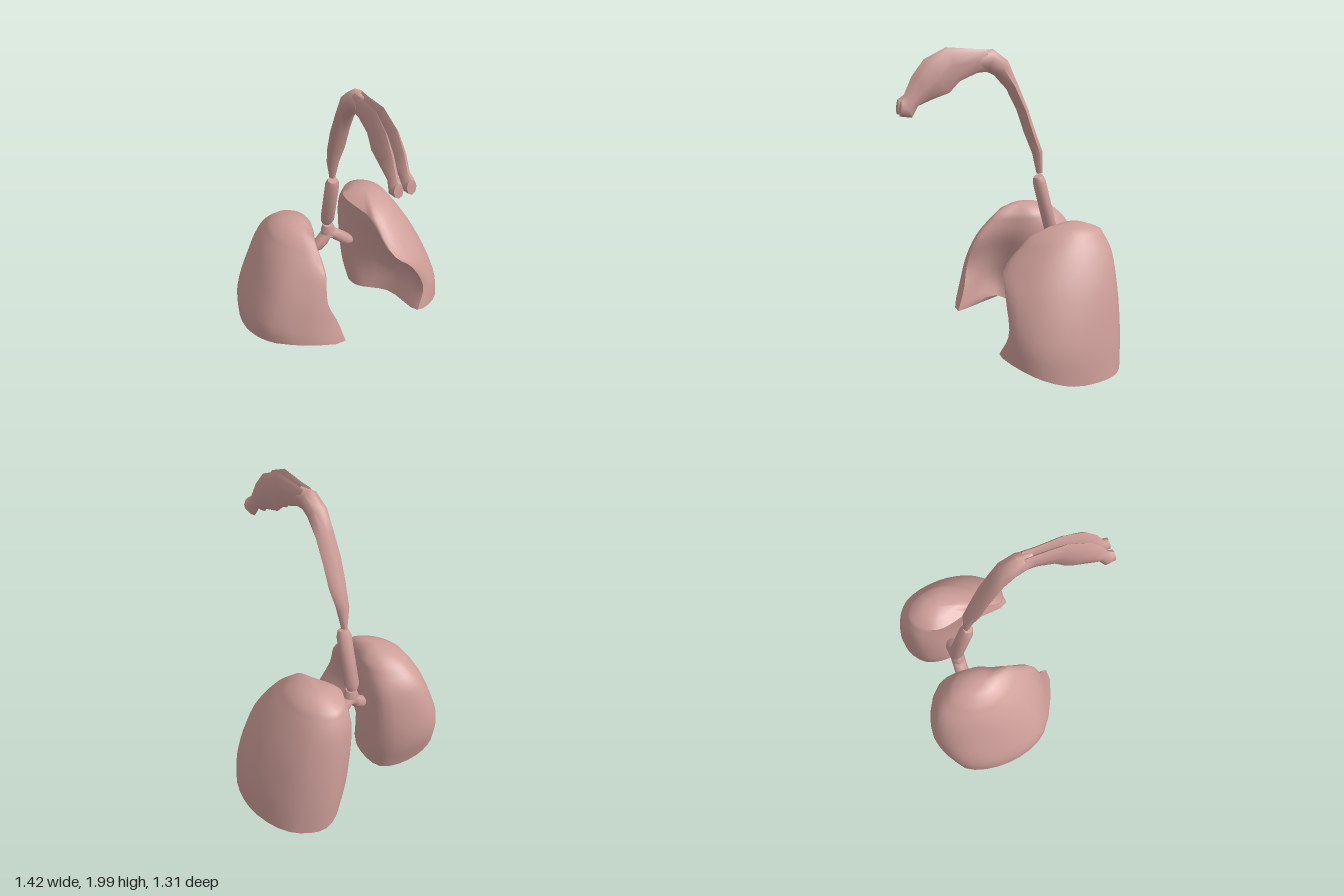
import * as THREE from 'three';
import { toCreasedNormals } from 'three/addons/utils/BufferGeometryUtils.js';

const material = new THREE.MeshStandardMaterial({ color: 0xcf9f9a });
const V = (x, y, z) => new THREE.Vector3(x, y, z);

// Skin closed rings (counter-clockwise about the travel direction) and cap both ends.
function loft(name, rings, startTip, endTip) {
  const n = rings[0].length, pos = [], index = [];
  rings.flat().concat(startTip, endTip).forEach((p) => pos.push(p.x, p.y, p.z));
  const start = n * rings.length, end = start + 1, last = start - n;
  for (let j = 0; j < n; j++) {
    const k = (j + 1) % n;
    for (let i = 0; i < rings.length - 1; i++) {
      const a = i * n + j, b = i * n + k;
      index.push(a, b, a + n, b, b + n, a + n);
    }
    index.push(start, k, j, end, last + j, last + k);
  }
  const geo = new THREE.BufferGeometry();
  geo.setAttribute('position', new THREE.Float32BufferAttribute(pos, 3));
  geo.setIndex(index);
  const mesh = new THREE.Mesh(toCreasedNormals(geo, 1), material);
  mesh.name = name;
  return mesh;
}

// Elliptical tube through stations [x, y, z, radius along side, radius across it].
function tube(name, stations, side, sides = 8) {
  const c = stations.map(([x, y, z]) => V(x, y, z));
  const rings = stations.map(([, , , ra, rb], i) => {
    const t = c[Math.min(i + 1, c.length - 1)].clone().sub(c[Math.max(i - 1, 0)]).normalize();
    const across = t.cross(side).normalize();
    return Array.from({ length: sides }, (_, j) => {
      const a = (j / sides) * Math.PI * 2;
      return c[i].clone().addScaledVector(side, Math.cos(a) * ra).addScaledVector(across, Math.sin(a) * rb);
    });
  });
  return loft(name, rings, c[0], c[c.length - 1]);
}

// Lung: eight landmarks per level, smoothed both around and upward.
// Order: back, outer back, outer, outer front, front ridge, hollow, inner, inner back.
function lung(name, levels, base, top, reverse) {
  const around = 32, up = 14;
  const rows = levels.map((row) => {
    const pts = row.map((p) => V(...p));
    if (reverse) pts.reverse();
    const curve = new THREE.CatmullRomCurve3(pts, true);
    return Array.from({ length: around }, (_, j) => curve.getPoint(j / around));
  });
  const columns = rows[0].map((_, j) => new THREE.CatmullRomCurve3(rows.map((r) => r[j])));
  const rings = Array.from({ length: up + 1 }, (_, i) => columns.map((c) => c.getPoint(i / up)));
  // shallow underside, and a rounded crown
  const under = rings[0].map((p) => p.clone().lerp(base, 0.45));
  const crown = rings[up].map((p) => p.clone().lerp(top, 0.45).setY(p.y * 0.3 + top.y * 0.7));
  return loft(name, [under, ...rings, crown], base, top);
}

const leftLevels = [
  [[.41, .01, -.63], [.62, .02, -.51], [.705, .04, -.2], [.64, .11, .03], [.41, .18, .17], [.37, .09, -.19], [.18, .12, -.32], [.22, .06, -.53]],
  [[.38, .25, -.64], [.58, .25, -.53], [.69, .25, -.22], [.63, .28, .02], [.47, .33, .13], [.44, .29, -.12], [.165, .28, -.34], [.18, .25, -.54]],
  [[.34, .55, -.63], [.52, .55, -.53], [.595, .55, -.27], [.54, .55, -.03], [.38, .54, .12], [.34, .55, -.09], [.14, .55, -.36], [.165, .55, -.56]],
  [[.31, .76, -.6], [.43, .76, -.53], [.495, .75, -.3], [.44, .72, -.08], [.25, .67, .08], [.23, .74, -.1], [.13, .76, -.4], [.165, .76, -.55]],
  [[.28, .87, -.55], [.37, .88, -.48], [.41, .88, -.33], [.35, .86, -.17], [.22, .85, -.1], [.18, .86, -.2], [.13, .88, -.4], [.18, .88, -.5]],
];
const rightLevels = [
  [[-.42, .09, -.58], [-.63, .12, -.52], [-.71, .18, -.22], [-.61, .24, .07], [-.19, .23, .25], [-.3, .26, -.06], [-.14, .14, -.28], [-.16, .09, -.5]],
  [[-.42, .32, -.65], [-.63, .32, -.53], [-.705, .32, -.25], [-.62, .35, .05], [-.22, .37, .2], [-.33, .38, -.06], [-.13, .34, -.3], [-.145, .32, -.54]],
  [[-.4, .56, -.64], [-.55, .56, -.52], [-.61, .56, -.26], [-.54, .56, .02], [-.27, .52, .16], [-.29, .56, -.08], [-.14, .55, -.3], [-.145, .55, -.53]],
  [[-.36, .75, -.58], [-.47, .75, -.49], [-.52, .75, -.28], [-.45, .74, -.05], [-.255, .7, .1], [-.23, .73, -.1], [-.15, .75, -.3], [-.165, .75, -.48]],
  [[-.32, .87, -.46], [-.41, .87, -.4], [-.44, .865, -.28], [-.38, .87, -.14], [-.26, .87, -.06], [-.22, .86, -.16], [-.18, .86, -.28], [-.215, .87, -.4]],
];

export function createModel() {
  const group = new THREE.Group();
  group.name = 'respiratorySystem';
  const X = V(1, 0, 0), Z = V(0, 0, 1), mid = -0.025;

  group.add(lung('leftLung', leftLevels, V(.46, .12, -.27), V(.27, .925, -.36), true));
  group.add(lung('rightLung', rightLevels, V(-.42, .22, -.17), V(-.3, .915, -.24), false));

  // Windpipe with tapered ends
  group.add(tube('windpipe', [
    [mid, .75, -.35, .035, .03], [mid, .79, -.34, .049, .044],
    [mid, 1.12, -.255, .049, .044], [mid, 1.16, -.245, .033, .032],
  ], X));

  // Forked bronchi: an arch and the stub above it
  group.add(tube('bronchi', [
    [.145, .545, -.33, .03, .025], [.11, .565, -.335, .045, .042], [.04, .63, -.335, .045, .042], [mid, .685, -.335, .045, .046],
    [-.07, .62, -.335, .045, .042], [-.11, .59, -.335, .045, .042], [-.135, .575, -.335, .03, .03],
  ], Z));
  group.add(tube('bronchiStem', [
    [mid, .65, -.335, .055, .045], [mid, .7, -.335, .05, .045], [mid, .74, -.335, .036, .036],
  ], X));

  // Throat, rising and bending forward
  group.add(tube('throat', [
    [1.18, -.255, .02, .02], [1.32, -.237, .045, .034], [1.45, -.185, .064, .033], [1.6, -.133, .068, .032],
    [1.75, -.063, .067, .04], [1.86, .005, .064, .062], [1.91, .08, .058, .07], [1.91, .15, .045, .06],
  ].map(([y, z, a, b]) => [mid, y, z, a, b]), X));

  // Paired nasal passages ending in flared nostrils
  for (const s of [1, -1]) {
    group.add(tube(s > 0 ? 'leftNasalPassage' : 'rightNasalPassage', [
      [.024, 1.91, .1, .02, .065], [.022, 1.91, .17, .019, .07], [.027, 1.895, .31, .022, .105],
      [.034, 1.83, .41, .031, .12], [.036, 1.765, .5, .032, .085], [.036, 1.695, .57, .028, .045],
      [.04, 1.65, .605, .037, .06], [.04, 1.655, .645, .03, .046],
    ].map(([dx, ...rest]) => [mid + s * dx, ...rest]), X));
  }
  return group;
}
